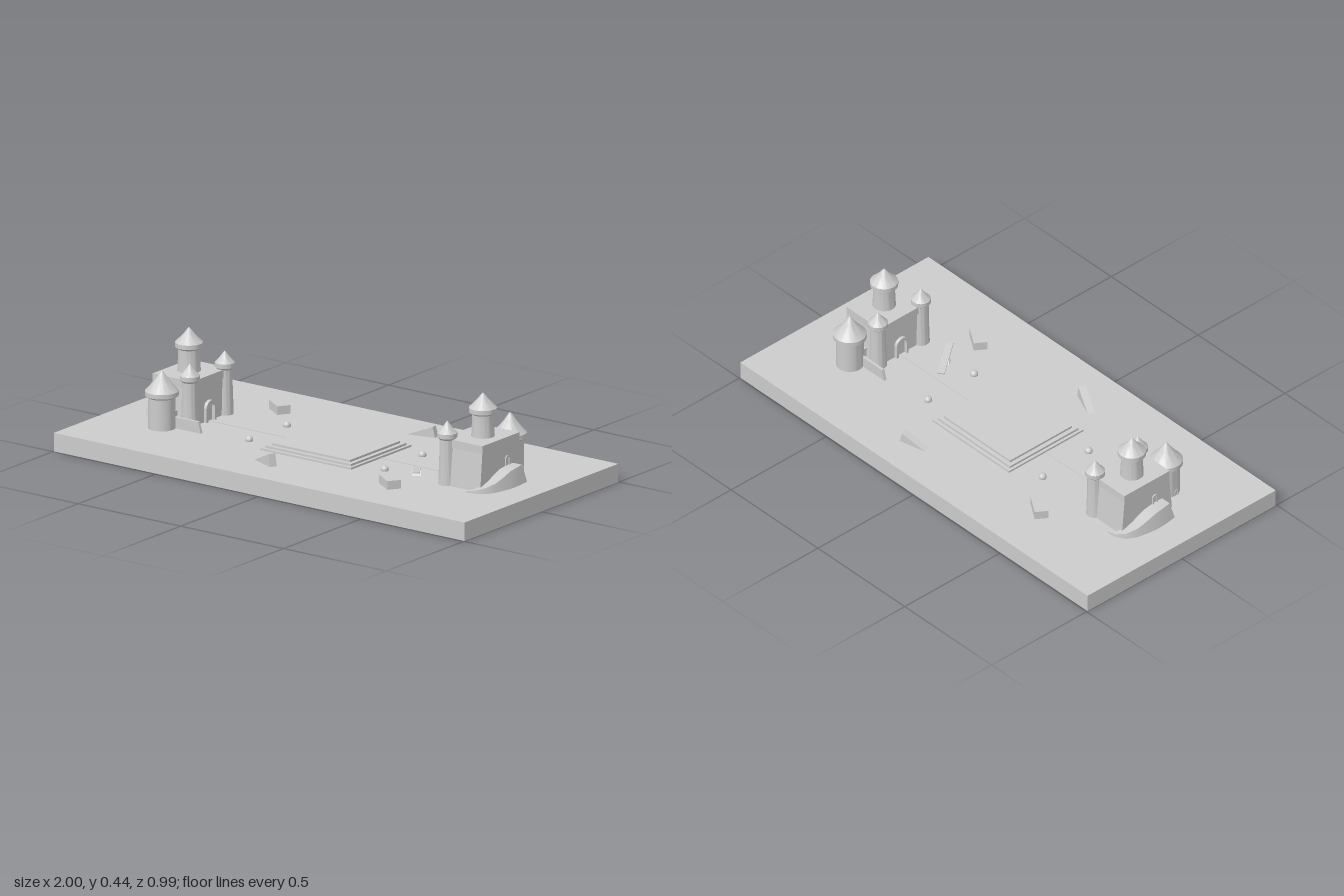
import * as THREE from 'three';
import { toCreasedNormals } from 'three/addons/utils/BufferGeometryUtils.js';

const GROUND = 0.075;
const material = new THREE.MeshStandardMaterial({ color: 0xcccccc });

function add(parent, name, geometry, x = 0, y = 0, z = 0) {
  const mesh = new THREE.Mesh(geometry, material);
  mesh.name = name;
  mesh.position.set(x, y, z);
  parent.add(mesh);
  return mesh;
}

// Box given by its lower and upper corners
function block(parent, name, x0, x1, y0, y1, z0, z1) {
  return add(parent, name, new THREE.BoxGeometry(x1 - x0, y1 - y0, z1 - z0),
    (x0 + x1) / 2, (y0 + y1) / 2, (z0 + z1) / 2);
}

// Round tower with an overhanging rim and a concave pointed roof
function tower(parent, name, x, z, base, eaves, apex, r, rimR, foot = r) {
  const h = apex - eaves - 0.018;
  const y = eaves + 0.018;
  const profile = [
    [0, base], [foot, base], [r, base + (eaves - base) * 0.6], [r, eaves - 0.008],
    [rimR, eaves], [rimR, y], [rimR * 0.68, y + h * 0.28],
    [rimR * 0.36, y + h * 0.6], [rimR * 0.14, y + h * 0.87], [0, apex],
  ].map(([a, b]) => new THREE.Vector2(a, b));
  add(parent, name, toCreasedNormals(new THREE.LatheGeometry(profile, 36), 0.6), x, 0, z);
}

function archOutline(target, w, h) {
  target.moveTo(-w / 2, 0);
  target.lineTo(w / 2, 0);
  target.lineTo(w / 2, h - w / 2);
  target.absarc(0, h - w / 2, w / 2, 0, Math.PI, false);
  target.lineTo(-w / 2, 0);
  return target;
}

// Raised arch frame facing along x
function arch(parent, name, x, y, z, w, h, border, depth) {
  const shape = archOutline(new THREE.Shape(), w + border * 2, h + border);
  shape.holes.push(archOutline(new THREE.Path(), w, h));
  const g = new THREE.ExtrudeGeometry(shape, { depth, bevelEnabled: false, curveSegments: 10 });
  g.rotateY(Math.PI / 2);
  add(parent, name, g, x, y, z);
}

// Side profile in xy, extruded across z and centred
function slab(points, width) {
  const shape = new THREE.Shape(points.map(([x, y]) => new THREE.Vector2(x, y)));
  const g = new THREE.ExtrudeGeometry(shape, { depth: width, bevelEnabled: false });
  return g.translate(0, 0, -width / 2);
}

// Curved ramp: each section is inner x/z, outer x/z and top height
function rampGeometry() {
  const sections = [
    [0.755, 0.158, 0.76, 0.167, 0.08], [0.785, 0.145, 0.80, 0.163, 0.088],
    [0.80, 0.115, 0.835, 0.142, 0.098], [0.80, 0.08, 0.857, 0.10, 0.11],
    [0.80, 0.045, 0.867, 0.05, 0.127], [0.80, 0.01, 0.871, 0.01, 0.14],
    [0.80, -0.035, 0.869, -0.035, 0.145], [0.80, -0.09, 0.862, -0.09, 0.145],
  ];
  const positions = [], index = [];
  const last = sections.length - 1;
  sections.forEach(([ix, iz, ox, oz, top], i) => {
    const lean = Math.min(0.2, (top - GROUND) * 3);
    const tx = ox + (ix - ox) * lean, tz = oz + (iz - oz) * lean;
    const back = i === last ? 0.015 : 0;
    positions.push(ix, GROUND, iz, ox, GROUND, oz, tx, top, tz + back, ix, top, iz + back);
    if (i === last) return;
    for (let k = 0; k < 4; k++) {
      const a = i * 4 + k, b = i * 4 + (k + 1) % 4;
      index.push(a, a + 4, b + 4, a, b + 4, b);
    }
  });
  const e = last * 4;
  index.push(0, 1, 2, 0, 2, 3, e, e + 2, e + 1, e, e + 3, e + 2);
  const g = new THREE.BufferGeometry();
  g.setAttribute('position', new THREE.Float32BufferAttribute(positions, 3));
  g.setIndex(index);
  return toCreasedNormals(g, 0.6);
}

function createCastle(name) {
  const castle = new THREE.Group();
  castle.name = name;

  // Keep with battered side walls and a parapet
  const body = new THREE.BoxGeometry(0.185, 0.155, 0.235);
  const p = body.attributes.position;
  for (let i = 0; i < p.count; i++) {
    if (p.getY(i) < 0) p.setZ(i, p.getZ(i) * 1.12);
  }
  body.computeVertexNormals();
  add(castle, 'keep', body, 0.7125, 0.1525, 0.005);
  block(castle, 'parapet', 0.615, 0.807, 0.227, 0.26, -0.113, 0.125);

  // Towers
  tower(castle, 'keepTower', 0.72, 0.006, 0.26, 0.357, 0.435, 0.043, 0.055, 0.046);
  for (const z of [-0.108, 0.117]) {
    tower(castle, 'gateTower', 0.63, z, GROUND, 0.265, 0.33, 0.031, 0.039, 0.035);
  }
  tower(castle, 'roundTower', 0.708, -0.185, GROUND, 0.208, 0.308, 0.054, 0.066);

  // Gate, upper door and tower door
  arch(castle, 'gateFrame', 0.606, GROUND, 0, 0.042, 0.075, 0.01, 0.018);
  arch(castle, 'upperDoor', 0.8, 0.143, -0.036, 0.018, 0.038, 0.004, 0.01);
  arch(castle, 'towerDoor', 0.752, GROUND, -0.19, 0.012, 0.024, 0.004, 0.012);

  // Curtain walls
  block(castle, 'linkWall', 0.68, 0.77, GROUND, 0.135, -0.14, -0.1);
  add(castle, 'wingWall', slab([[0.537, GROUND], [0.67, GROUND], [0.67, 0.12], [0.55, 0.12]], 0.012), 0, 0, -0.155);

  add(castle, 'curvedRamp', rampGeometry());
  return castle;
}

export function createModel() {
  const model = new THREE.Group();
  model.name = 'castleTable';
  block(model, 'base', -1, 1, 0, GROUND, -0.495, 0.495);

  // Two facing castles
  const leftCastle = createCastle('leftCastle');
  const rightCastle = createCastle('rightCastle');
  rightCastle.rotation.y = Math.PI;
  model.add(leftCastle, rightCastle);

  // Stepped central platform
  const steps = [[0.22, 0.195, 0.083], [0.208, 0.18, 0.092], [0.19, 0.162, 0.101]];
  for (const [x, z, top] of steps) {
    block(model, 'platformStep', -x, x, GROUND - 0.002, top, -z, z);
  }

  for (const s of [-1, 1]) {
    // Path strip from gate to platform
    add(model, 'path', new THREE.BoxGeometry(0.4, 0.004, 0.008), s * 0.415, GROUND, 0);
    for (const z of [-0.12, 0.123]) {
      add(model, 'ball', new THREE.SphereGeometry(0.016, 20, 14), s * 0.33, 0.08, z);
    }
  }

  // Loose blocks
  for (const [x, z] of [[-0.478, -0.27], [0.47, 0.275]]) {
    add(model, 'looseBlock', new THREE.BoxGeometry(0.098, 0.036, 0.055), x, 0.092, z).rotation.y = -0.58;
  }

  // Wedges with the tall end towards +x
  const wedge = (h) => slab([[-0.06, 0], [0.06, 0], [0.048, h]], 0.03);
  add(model, 'wedge', wedge(0.05), -0.1, GROUND, 0.32).rotation.y = -0.4;
  add(model, 'wedge', wedge(0.042), 0.162, GROUND, -0.345).rotation.y = 0.22;

  // Seesaw plank on a fulcrum
  const seesaw = new THREE.Group();
  seesaw.name = 'seesaw';
  seesaw.position.set(0.464, GROUND, 0.095);
  seesaw.rotation.y = -0.95;
  add(seesaw, 'plank', new THREE.BoxGeometry(0.17, 0.006, 0.028), 0, 0.02, 0).rotation.z = 0.15;
  add(seesaw, 'fulcrum', slab([[-0.016, 0], [0.016, 0], [0, 0.02]], 0.034));
  model.add(seesaw);

  return model;
}
